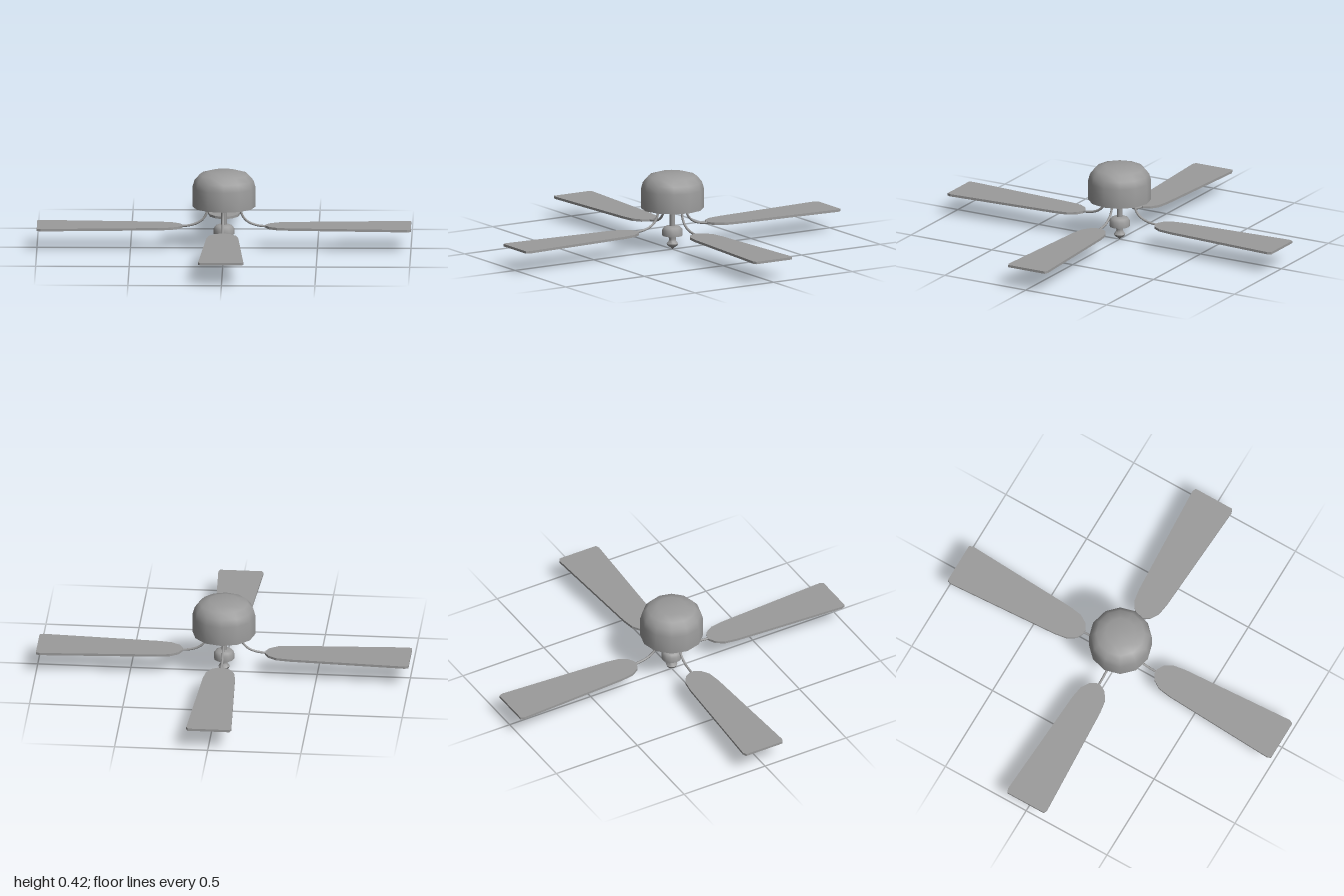
import * as THREE from 'three';
import { toCreasedNormals } from 'three/addons/utils/BufferGeometryUtils.js';

const grey = new THREE.MeshStandardMaterial({ color: 0x9b9b9b });

function part(name, geometry) {
  const mesh = new THREE.Mesh(geometry, grey);
  mesh.name = name;
  return mesh;
}

// Turned part: [radius, height] pairs from bottom to top
function turned(name, profile) {
  const points = profile.map(([r, y]) => new THREE.Vector2(r, y));
  return part(name, toCreasedNormals(new THREE.LatheGeometry(points, 12), 1));
}

// Flat tapered blade reaching out along +x, rounded at the root
function bladeGeometry() {
  const edge = [[0.222, 0.012], [0.241, 0.047], [0.285, 0.075], [0.355, 0.086], [0.98, 0.121], [1, 0.112]];
  const outline = [...edge, ...edge.map(([x, z]) => [x, -z]).reverse()];
  const shape = new THREE.Shape(outline.map(([x, z]) => new THREE.Vector2(x, z)));
  const geometry = new THREE.ExtrudeGeometry(shape, { depth: 0.013, bevelEnabled: false });
  geometry.rotateX(-Math.PI / 2);
  geometry.translate(0, 0.111, 0);
  return geometry;
}

// Curved bracket from the motor underside to the blade root
function armGeometry() {
  const path = new THREE.CubicBezierCurve3(
    new THREE.Vector3(0.086, 0.235, 0),
    new THREE.Vector3(0.086, 0.152, 0),
    new THREE.Vector3(0.14, 0.118, 0),
    new THREE.Vector3(0.24, 0.118, 0));
  return new THREE.TubeGeometry(path, 12, 0.0065, 8);
}

export function createModel() {
  const fan = new THREE.Group();
  fan.name = 'ceilingFan';

  // Domed motor housing with a flat underside
  fan.add(turned('motorHousing', [
    [0, 0.226], [0.169, 0.226], [0.169, 0.332], [0.158, 0.37],
    [0.13, 0.402], [0.08, 0.417], [0, 0.418],
  ]));

  // Central rod
  const rod = part('rod', new THREE.CylinderGeometry(0.015, 0.015, 0.13, 12));
  rod.position.y = 0.171;
  fan.add(rod);

  // Switch hub and turned finial below the rod
  fan.add(turned('hub', [
    [0, 0.076], [0.055, 0.076], [0.055, 0.108], [0.046, 0.121], [0.03, 0.128], [0, 0.129],
  ]));
  fan.add(turned('finial', [
    [0, 0], [0.01, 0.01], [0.026, 0.02], [0.031, 0.031],
    [0.02, 0.046], [0.018, 0.056], [0.024, 0.078], [0, 0.078],
  ]));

  // Four blades with their arms, each set slightly off its axis
  const blade = bladeGeometry();
  const arm = armGeometry();
  for (let i = 0; i < 4; i++) {
    const wing = new THREE.Group();
    wing.name = 'bladeAssembly' + (i + 1);
    wing.add(part('blade', blade), part('arm', arm));
    wing.rotation.y = i * Math.PI / 2;
    wing.position[i % 2 ? 'x' : 'z'] = -0.004;
    fan.add(wing);
  }
  return fan;
}
